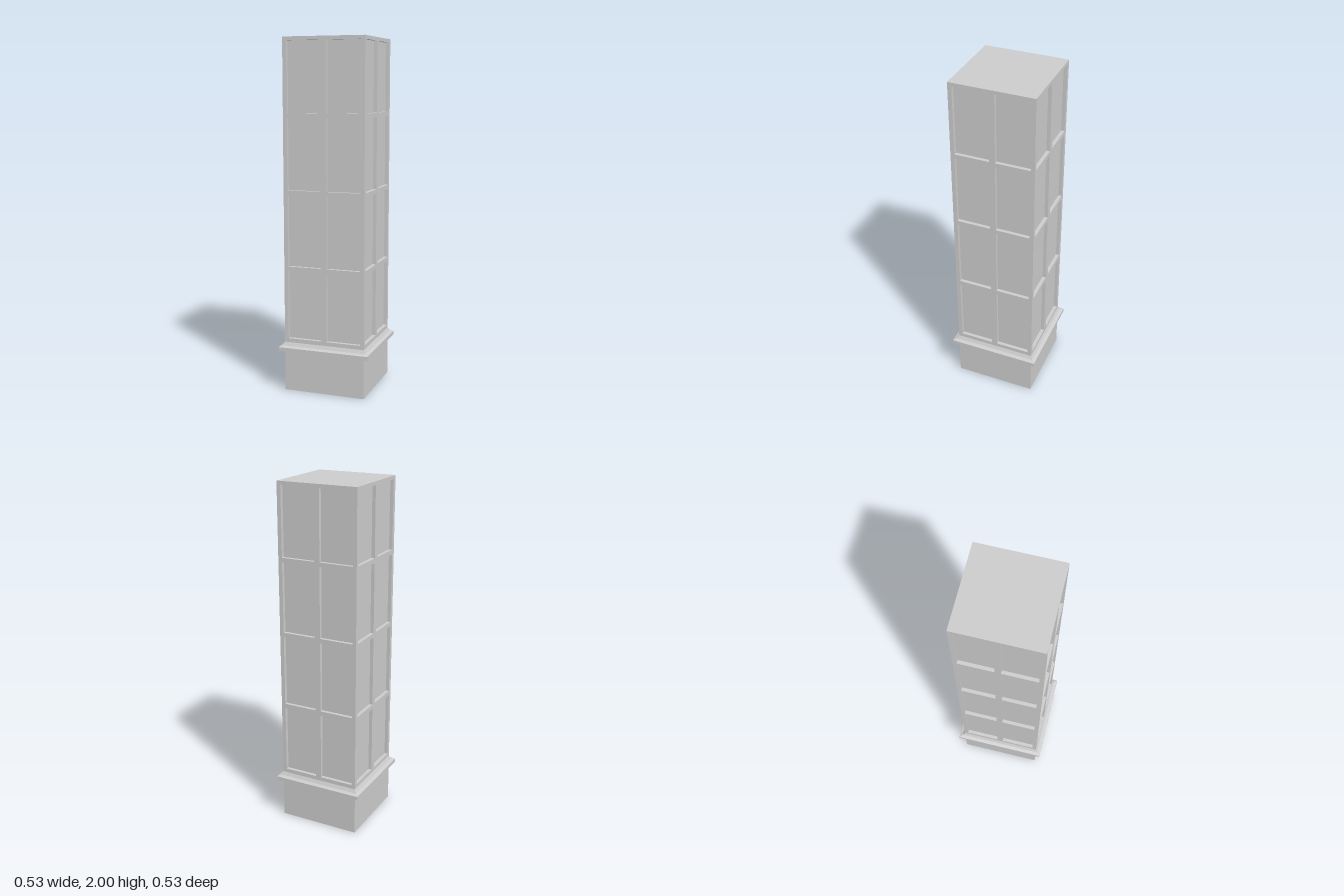
import * as THREE from 'three';

const HALF = 0.237;      // half width of the shaft
const SHAFT_Y = 0.285;   // where the panelled shaft starts
const DEPTH = 0.02;      // recess of the panels
const ROWS = [[0.308, 0.70], [0.727, 1.135], [1.16, 1.562], [1.588, 1.98]];
const COLS = [[-0.214, -0.017], [0.017, 0.214]];

const material = new THREE.MeshStandardMaterial({
  color: 0xcccccc, flatShading: true, side: THREE.DoubleSide,
});

// Joins rectangles [x0, x1, y0, y1, z] along z, optionally capping the last one
function loft(rects, cap) {
  const rings = rects.map(([x0, x1, y0, y1, z]) =>
    [[x0, y0, z], [x1, y0, z], [x1, y1, z], [x0, y1, z]]);
  const pos = [];
  const quad = (a, b, c, d) => pos.push(...a, ...b, ...c, ...a, ...c, ...d);
  for (let i = 0; i + 1 < rings.length; i++) {
    const A = rings[i], B = rings[i + 1];
    for (let k = 0; k < 4; k++) {
      const n = (k + 1) % 4;
      quad(A[k], A[n], B[n], B[k]);
    }
  }
  if (cap) quad(...rings[rings.length - 1]);
  const g = new THREE.BufferGeometry();
  g.setAttribute('position', new THREE.Float32BufferAttribute(pos, 3));
  g.computeVertexNormals();
  return g;
}

function part(name, geometry) {
  const m = new THREE.Mesh(geometry, material);
  m.name = name;
  return m;
}

const square = (r, y) => [-r, r, -r, r, y];

function rectPoints(x0, x1, y0, y1) {
  return [[x0, y0], [x1, y0], [x1, y1], [x0, y1]].map(p => new THREE.Vector2(...p));
}

// One side of the shaft: a flat lattice with eight sunken panels
function createSide() {
  const side = new THREE.Group();
  const shape = new THREE.Shape(rectPoints(-HALF, HALF, SHAFT_Y, 2));
  for (const [y0, y1] of ROWS) {
    for (const [x0, x1] of COLS) {
      shape.holes.push(new THREE.Path(rectPoints(x0, x1, y0, y1).reverse()));
      side.add(part('panel', loft([[x0, x1, y0, y1, HALF], [x0, x1, y0, y1, HALF - DEPTH]], true)));
    }
  }
  const lattice = new THREE.ShapeGeometry(shape);
  lattice.translate(0, 0, HALF);
  side.add(part('lattice', lattice));
  return side;
}

export function createModel() {
  const model = new THREE.Group();
  model.name = 'panelledColumn';

  // Hollow plinth, open underneath
  const plinth = loft([square(HALF, 0), square(HALF, 0.237)], false);
  model.add(part('plinth', plinth.rotateX(-Math.PI / 2)));

  // Projecting moulding with two slopes
  const moulding = loft([
    square(HALF, 0.237), square(0.267, 0.237), square(0.267, 0.258),
    square(0.248, 0.266), square(HALF, SHAFT_Y),
  ], false);
  model.add(part('moulding', moulding.rotateX(-Math.PI / 2)));

  // Four equal shaft sides
  for (let i = 0; i < 4; i++) {
    const side = createSide();
    side.name = ['frontSide', 'leftSide', 'backSide', 'rightSide'][i];
    side.rotation.y = i * Math.PI / 2;
    model.add(side);
  }

  // Flat top
  model.add(part('top', loft([square(HALF, 2)], true).rotateX(-Math.PI / 2)));
  return model;
}
